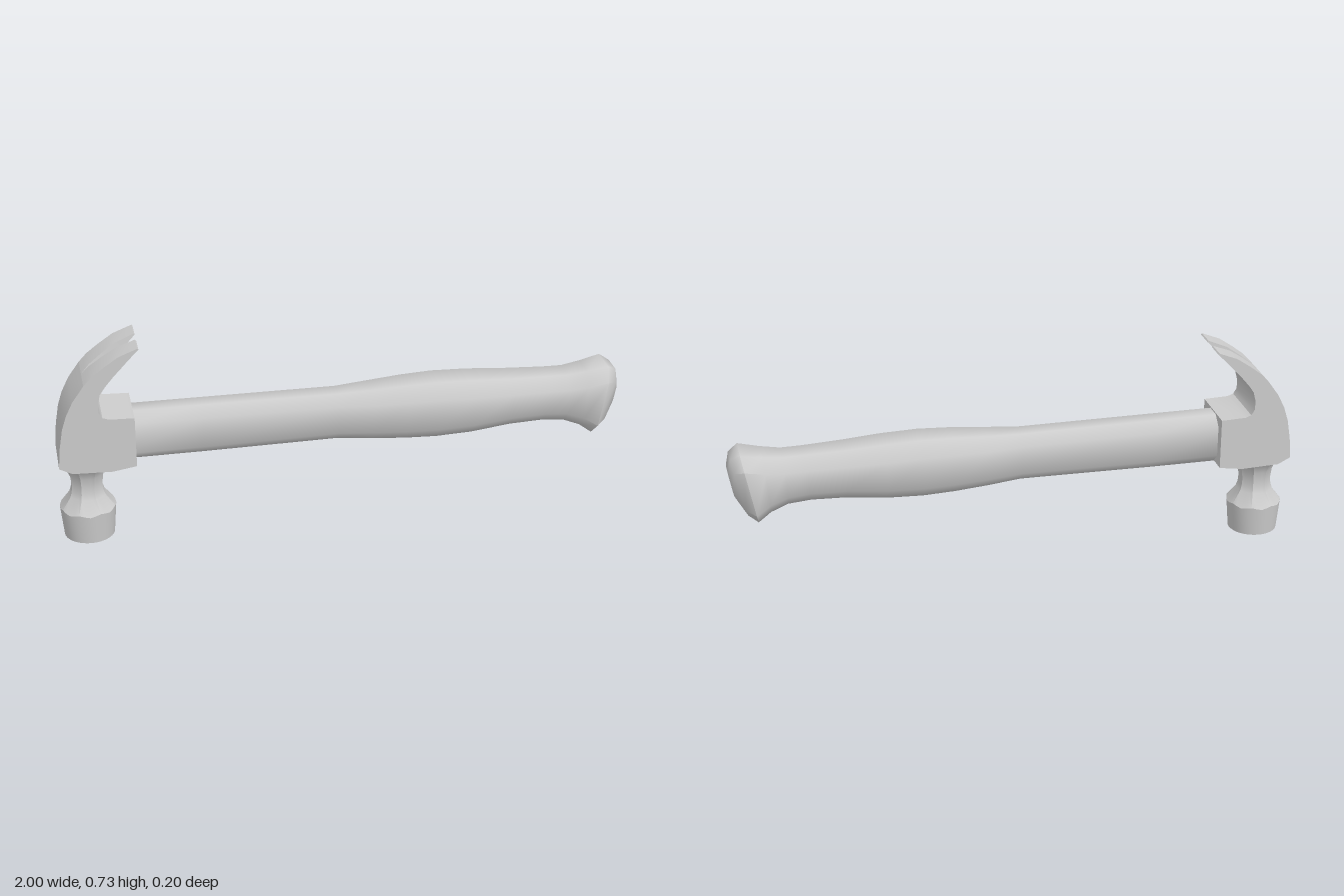
import * as THREE from 'three';
import { toCreasedNormals } from 'three/addons/utils/BufferGeometryUtils.js';

const material = new THREE.MeshStandardMaterial({ color: 0xcccccc });

// Skin through closed rings of [x, y, z]; points turn counter-clockwise about the direction of travel.
function loft(rings, crease) {
  const n = rings[0].length;
  const positions = rings.flat(2);
  const index = [];
  for (let r = 0; r < rings.length - 1; r++) {
    for (let i = 0; i < n; i++) {
      const a = r * n + i, b = r * n + (i + 1) % n;
      index.push(a, b, a + n, b, b + n, a + n);
    }
  }
  const last = (rings.length - 1) * n;
  for (let i = 1; i < n - 1; i++) {
    index.push(0, i + 1, i, last, last + i, last + i + 1);
  }
  const geometry = new THREE.BufferGeometry();
  geometry.setAttribute('position', new THREE.Float32BufferAttribute(positions, 3));
  geometry.setIndex(index);
  return toCreasedNormals(geometry, crease);
}

// Chamfered rectangle across the handle, leaning from its top point to its bottom point
function handleRing([xTop, yTop, xBottom, yBottom, hz, c]) {
  const hy = (yTop - yBottom) / 2, cy = (yTop + yBottom) / 2;
  const outline = [
    [hy, -hz + c], [hy, hz - c], [hy - c, hz], [-hy + c, hz],
    [-hy, hz - c], [-hy, -hz + c], [-hy + c, -hz], [hy - c, -hz],
  ];
  return outline.map(([y, z]) => [
    THREE.MathUtils.lerp(xBottom, xTop, (y + hy) / (2 * hy)), cy + y, z,
  ]);
}

const FACE_X = -0.905, SIDES = 32;

// Ring about the striking axis; facet blends a circle (0) into an octagon (1), dip scallops its height
function faceRing(y, radius, facet = 0, dip = 0) {
  return Array.from({ length: SIDES }, (_, i) => {
    const a = (i / SIDES) * Math.PI * 2;
    const off = a - Math.round(a / (Math.PI / 4)) * (Math.PI / 4);
    const r = radius * (1 + facet * (1 / Math.cos(off) - 1));
    const scallop = dip * (1 - Math.abs(off) / (Math.PI / 8));
    return [FACE_X + r * Math.sin(a), y - scallop, r * Math.cos(a)];
  });
}

export function createModel() {
  const model = new THREE.Group();
  const add = (parent, name, geometry) => {
    const mesh = new THREE.Mesh(geometry, material);
    mesh.name = name;
    parent.add(mesh);
  };

  // Handle: slim shaft, swelling grip and flared, slanted butt
  const sections = [
    [-0.78, 0.472, -0.78, 0.291, 0.066, 0.035],
    [-0.50, 0.471, -0.50, 0.291, 0.066, 0.035],
    [-0.02, 0.468, -0.02, 0.296, 0.068, 0.035],
    [0.10, 0.475, 0.10, 0.287, 0.084, 0.042],
    [0.22, 0.483, 0.22, 0.280, 0.094, 0.046],
    [0.33, 0.487, 0.33, 0.277, 0.099, 0.048],
    [0.46, 0.483, 0.46, 0.282, 0.099, 0.048],
    [0.60, 0.474, 0.60, 0.297, 0.091, 0.044],
    [0.74, 0.469, 0.72, 0.299, 0.084, 0.042],
    [0.81, 0.468, 0.80, 0.292, 0.084, 0.042],
    [0.88, 0.478, 0.86, 0.270, 0.092, 0.044],
    [0.955, 0.494, 0.905, 0.238, 0.099, 0.045],
    [0.988, 0.474, 0.938, 0.260, 0.074, 0.036],
    [0.999, 0.430, 0.980, 0.330, 0.045, 0.022],
  ];
  add(model, 'handle', loft(sections.map(handleRing), 1.0));

  const head = new THREE.Group();
  head.name = 'head';
  model.add(head);

  // Head body: socket and the solid root of the claw
  const profile = [
    [-1, 0.308], [-0.955, 0.285], [-0.82, 0.28], [-0.735, 0.293],
    [-0.735, 0.477], [-0.822, 0.48], [-0.843, 0.488], [-0.855, 0.508],
    [-0.856, 0.54], [-0.847, 0.575], [-0.83, 0.60], [-0.90, 0.612],
    [-0.94, 0.556], [-0.965, 0.505], [-0.981, 0.455], [-0.993, 0.385],
  ];
  const shape = new THREE.Shape(profile.map(([x, y]) => new THREE.Vector2(x, y)));
  const body = new THREE.ExtrudeGeometry(shape, { depth: 0.2, bevelEnabled: false });
  body.translate(0, 0, -0.1);
  add(head, 'headBody', toCreasedNormals(body, 0.6));

  // Claw prongs: outer point, inner point and half the gap of the notch
  const stations = [
    [-0.90, 0.612, -0.83, 0.60, 0],
    [-0.872, 0.642, -0.80, 0.636, 0.007],
    [-0.83, 0.674, -0.768, 0.67, 0.0135],
    [-0.78, 0.708, -0.742, 0.698, 0.019],
    [-0.714, 0.734, -0.71, 0.73, 0.025],
  ];
  for (const side of [1, -1]) {
    const rings = stations.map(([ox, oy, ix, iy, gap]) => {
      const [lo, hi] = side > 0 ? [gap, 0.1] : [-0.1, -gap];
      return [[ox, oy, lo], [ox, oy, hi], [ix, iy, hi], [ix, iy, lo]];
    });
    add(head, side > 0 ? 'frontProng' : 'backProng', loft(rings, 0.6));
  }

  // Octagonal neck flaring into the head above and the striking face below
  const neck = [
    faceRing(0.113, 0.098, 0, 0.008),
    faceRing(0.155, 0.061, 1),
    faceRing(0.175, 0.055, 1),
    faceRing(0.2, 0.053, 1),
    faceRing(0.235, 0.057, 1),
    faceRing(0.262, 0.068, 1),
    faceRing(0.29, 0.09, 1),
  ];
  add(head, 'neck', loft(neck, 0.5));

  // Striking face
  add(head, 'strikingFace', loft([faceRing(0, 0.088), faceRing(0.113, 0.098, 0, 0.008)], 0.6));

  return model;
}
